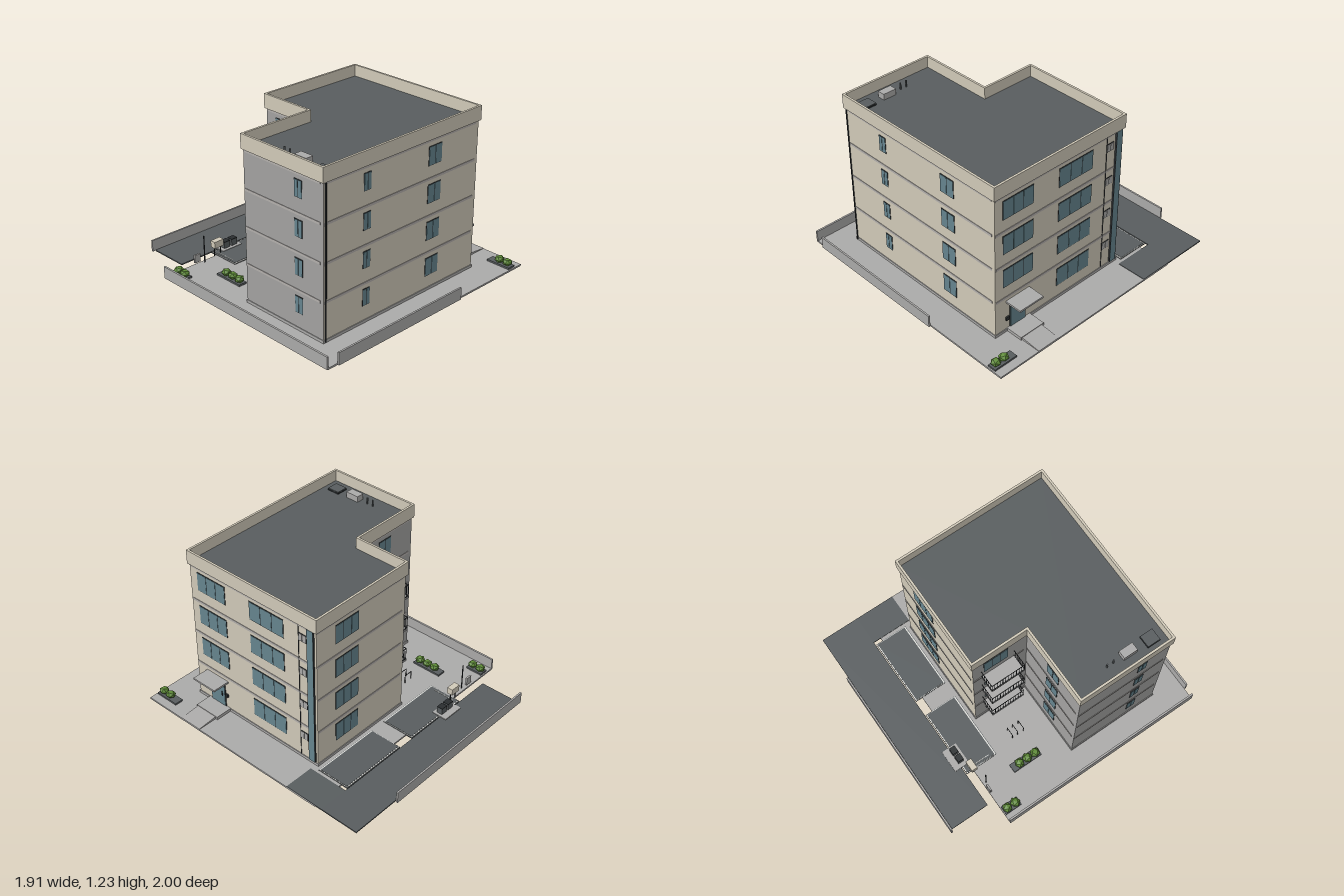
import * as THREE from 'three';

const mat = (name, color) => Object.assign(new THREE.MeshStandardMaterial({ color }), { name });

export function createModel() {
  const root = new THREE.Group();
  root.name = 'apartmentBlock';
  const M = {
    wall: mat('beige render', 0xd1cab9),
    grey: mat('grey render', 0xa3a2a1),
    concrete: mat('concrete', 0xabaaa9),
    trim: mat('floor band', 0xb4b0ad),
    asphalt: mat('asphalt', 0x585d5f),
    dark: mat('dark metal', 0x2a2e30),
    glass: mat('glass', 0x66858f),
    leaf: mat('foliage', 0x5f8c38),
    base: mat('slab underside', 0x929292),
    white: mat('road marking', 0xdcdcd8),
  };

  const add = (parent, name, geo, material, x = 0, y = 0, z = 0) => {
    const m = new THREE.Mesh(geo, material);
    m.name = name;
    m.position.set(x, y, z);
    parent.add(m);
    return m;
  };
  // Box given by its minimum and maximum on each axis
  const box = (parent, name, material, x0, x1, y0, y1, z0, z1) =>
    add(parent, name, new THREE.BoxGeometry(x1 - x0, y1 - y0, z1 - z0), material,
      (x0 + x1) / 2, (y0 + y1) / 2, (z0 + z1) / 2);
  const group = (name, parent = root) => {
    const g = new THREE.Group();
    g.name = name;
    parent.add(g);
    return g;
  };

  // Ground, road and parking bays
  const site = group('site');
  box(site, 'groundSlab', M.concrete, -0.95, 0.953, 0.004, 0.013, -0.62, 0.985);
  box(site, 'slabUnderside', M.base, -0.95, 0.953, 0, 0.004, -0.62, 0.985);
  box(site, 'road', M.asphalt, -0.76, 0.953, 0.008, 0.017, -0.98, -0.68);
  box(site, 'roadBranch', M.asphalt, 0.722, 0.953, 0.008, 0.017, -0.68, -0.37);
  for (const [a, b] of [[-0.492, 0.038], [0.163, 0.697]]) {
    const bay = group('parkingBay', site);
    box(bay, 'bayKerb', M.asphalt, a, b, 0.008, 0.016, -0.674, -0.418);
    box(bay, 'bayMarking', M.white, a + 0.003, b - 0.003, 0.008, 0.018, -0.671, -0.422);
    box(bay, 'baySurface', M.asphalt, a + 0.007, b - 0.007, 0.008, 0.02, -0.664, -0.431);
  }
  box(site, 'bayLine', M.white, -0.468, -0.463, 0.02, 0.022, -0.63, -0.47);
  box(site, 'backFence', M.concrete, -0.78, 0.575, 0.008, 0.095, -1, -0.987);
  box(site, 'frontFence', M.concrete, -0.87, 0.283, 0.004, 0.095, 0.987, 1);
  box(site, 'leftFence', M.concrete, -0.957, -0.943, 0.004, 0.095, -0.62, 0.985);

  // Outline of the L-shaped plan, inset by d from the parapet face
  const outline = (d) => [
    [-0.783 + d, 0.775 - d], [0.68 - d, 0.775 - d], [0.68 - d, -0.4 + d],
    [-0.2 + d, -0.4 + d], [-0.2 + d, 0.03 + d], [-0.783 + d, 0.03 + d],
  ].map(([x, z]) => new THREE.Vector2(x, z));
  const slab = (name, material, shape, y0, y1) => {
    const g = new THREE.ExtrudeGeometry(shape, { depth: y1 - y0, bevelEnabled: false });
    return add(root, name, g.rotateX(Math.PI / 2), material, 0, y1, 0);
  };
  const rim = new THREE.Shape(outline(0));
  rim.holes.push(new THREE.Path(outline(0.016).reverse()));
  slab('parapet', M.wall, rim, 1.12, 1.225);
  slab('roof', M.asphalt, new THREE.Shape(outline(0.014)), 1.122, 1.14);
  slab('plinth', M.concrete, new THREE.Shape(outline(0.007)), 0.01, 0.034);

  // Facades: local x runs along the wall, local z points outwards
  const FLOOR = 0.27;
  const corners = outline(0.012);
  const facade = (name, i, material) => {
    const a = corners[i], b = corners[(i + 1) % 6];
    const g = group(name);
    const d = b.clone().sub(a);
    g.position.set((a.x + b.x) / 2, 0, (a.y + b.y) / 2);
    g.rotation.y = Math.atan2(-d.y, d.x);
    add(g, 'wall', new THREE.PlaneGeometry(d.length(), 1.1), material, 0, 0.575, 0);
    const h = d.length() / 2;
    for (let f = 0; f < 4; f++)
      box(g, 'floorBand', M.trim, -h + 0.005, h - 0.025, 0.292 + f * FLOOR, 0.31 + f * FLOOR, 0, 0.003);
    return g;
  };
  // Window with dark frame and equal panes; u0..u1 along the wall
  const windowAt = (g, u0, u1, y0, y1, panes, pane) => {
    const w = group('window', g);
    box(w, 'frame', M.dark, u0, u1, y0, y1, 0, 0.003);
    const s = (u1 - u0) / panes;
    for (let i = 0; i < panes; i++)
      box(w, 'pane', pane, u0 + i * s + 0.0025, u0 + (i + 1) * s - 0.0025, y0 + 0.004, y1 - 0.004, 0, 0.005);
  };
  const column = (g, u0, u1, y0, y1, panes, from = 0, pane = M.glass) => {
    for (let f = from; f < 4; f++) windowAt(g, u0, u1, y0 + f * FLOOR, y1 + f * FLOOR, panes, pane);
  };

  const front = facade('frontFacade', 0, M.wall), fx = front.position.x;
  column(front, -0.425 - fx, -0.36 - fx, 0.14, 0.262, 2);
  column(front, 0.175 - fx, 0.3 - fx, 0.125, 0.262, 2);

  const right = facade('rightFacade', 1, M.wall), rz = right.position.z;
  const R = (z) => rz - z;
  column(right, R(0.695), R(0.432), 0.125, 0.27, 3, 1);
  column(right, R(0.205), R(-0.103), 0.125, 0.27, 3);
  column(right, R(-0.237), R(-0.302), 0.182, 0.243, 2, 0, M.concrete);
  box(right, 'wallSeam', M.dark, R(-0.233), R(-0.237), 0.034, 1.12, 0, 0.004);
  box(right, 'cornerGlazing', M.glass, R(-0.318), R(-0.368), 0.04, 1.12, 0, 0.014);
  for (const z of [-0.316, -0.368])
    box(right, 'glazingEdge', M.dark, R(z), R(z - 0.003), 0.04, 1.12, 0, 0.014);

  // Entrance
  const entry = group('entrance', right);
  box(entry, 'doorFrame', M.dark, R(0.637), R(0.493), 0.034, 0.252, 0, 0.004);
  box(entry, 'door', M.glass, R(0.632), R(0.498), 0.038, 0.246, 0, 0.008);
  box(entry, 'doorHandle', M.dark, R(0.523), R(0.518), 0.12, 0.16, 0, 0.014);
  box(entry, 'intercom', M.dark, R(0.675), R(0.645), 0.11, 0.137, 0, 0.012);
  box(entry, 'mailSlot', M.dark, R(0.485), R(0.465), 0.13, 0.155, 0, 0.012);
  box(entry, 'lamp', M.dark, R(0.515), R(0.495), 0.228, 0.24, 0, 0.014);
  box(entry, 'canopy', M.concrete, R(0.67), R(0.46), 0.257, 0.271, 0, 0.133);
  box(entry, 'landing', M.concrete, R(0.66), R(0.452), 0.01, 0.036, 0, 0.132);
  const ramp = new THREE.Shape([[0, 0.006], [0.153, 0.006], [0.153, 0.016], [0, 0.031]]
    .map((p) => new THREE.Vector2(...p)));
  add(root, 'entryRamp', new THREE.ExtrudeGeometry(ramp, { depth: 0.18, bevelEnabled: false }),
    M.concrete, 0.8, 0, 0.47);

  const back = facade('backFacade', 2, M.wall), bx = back.position.x;
  column(back, bx - 0.495, bx - 0.275, 0.125, 0.27, 3);
  const notchSide = facade('courtSideFacade', 3, M.grey), nz = notchSide.position.z;
  column(notchSide, -0.3 - nz, -0.11 - nz, 0.11, 0.265, 3);
  const notchBack = facade('courtBackFacade', 4, M.grey), cx = notchBack.position.x;
  column(notchBack, cx + 0.42, cx + 0.545, 0.125, 0.262, 2);
  const left = facade('leftFacade', 5, M.grey), lz = left.position.z;
  column(left, 0.51 - lz, 0.58 - lz, 0.14, 0.262, 2);

  // Downpipe
  add(root, 'downpipe', new THREE.CylinderGeometry(0.005, 0.005, 1.1, 8), M.dark, -0.757, 0.57, 0.771);

  // Balconies
  for (let f = 1; f < 4; f++) {
    const b = group('balcony');
    b.position.y = 0.03 + f * FLOOR;
    box(b, 'balconyFloor', M.concrete, -0.313, -0.188, 0, 0.012, -0.323, -0.057);
    const rail = (x0, x1, z0, z1) => {
      for (const y of [0.016, 0.104]) box(b, 'rail', M.dark, x0, x1, y, y + 0.005, z0, z1);
    };
    rail(-0.312, -0.308, -0.322, -0.058);
    const bar = (x, z) => box(b, 'baluster', M.dark, x - 0.0015, x + 0.0015, 0.012, 0.106, z - 0.0015, z + 0.0015);
    for (let i = 0; i <= 12; i++) bar(-0.31, -0.319 + i * 0.0215);
    for (const z of [-0.32, -0.06]) {
      rail(-0.312, -0.188, z - 0.002, z + 0.002);
      for (let i = 1; i < 6; i++) bar(-0.31 + i * 0.0215, z);
    }
  }

  // Roof equipment
  const plant = group('roofEquipment');
  box(plant, 'airUnit', M.concrete, -0.7, -0.64, 1.14, 1.185, 0.435, 0.54);
  box(plant, 'hatchFrame', M.dark, -0.72, -0.629, 1.14, 1.15, 0.612, 0.712);
  box(plant, 'hatch', M.asphalt, -0.718, -0.631, 1.14, 1.156, 0.614, 0.71);
  for (const z of [0.32, 0.37])
    add(plant, 'vent', new THREE.CylinderGeometry(0.006, 0.006, 0.05, 8), M.asphalt, -0.672, 1.165, z);

  // Planters with shrubs
  const planter = (x, z0, z1, shrubs) => {
    const p = group('planter');
    box(p, 'bed', M.asphalt, x - 0.033, x + 0.033, 0.01, 0.026, z0, z1);
    shrubs.forEach((z, i) => {
      const s = add(p, 'shrub', new THREE.IcosahedronGeometry(0.037, 0), M.leaf, x, 0.048, z);
      s.scale.y = 0.74;
      s.rotation.y = i * 0.7;
    });
  };
  planter(-0.86, -0.612, -0.48, [-0.58, -0.512]);
  planter(-0.645, -0.39, -0.155, [-0.325, -0.258, -0.19]);
  planter(0.857, 0.785, 0.975, [0.87, 0.938]);

  // Cycle stands
  for (const z of [-0.255, -0.21, -0.16]) {
    const s = group('cycleStand');
    for (const x of [-0.46, -0.394]) box(s, 'standLeg', M.dark, x, x + 0.004, 0.012, 0.08, z - 0.002, z + 0.002);
    box(s, 'standBar', M.dark, -0.46, -0.39, 0.076, 0.08, z - 0.002, z + 0.002);
  }

  // Bins, service cabinet and gate post
  const yard = group('serviceYard');
  box(yard, 'binPad', M.concrete, -0.433, -0.262, 0.008, 0.024, -0.732, -0.615);
  for (const x of [-0.4, -0.333]) {
    box(yard, 'bin', M.asphalt, x, x + 0.05, 0.024, 0.07, -0.682, -0.638);
    box(yard, 'binLid', M.dark, x - 0.001, x + 0.051, 0.07, 0.076, -0.683, -0.637);
  }
  box(yard, 'cabinet', M.wall, -0.52, -0.44, 0.08, 0.13, -0.645, -0.6);
  for (const x of [-0.51, -0.455]) box(yard, 'cabinetLeg', M.dark, x, x + 0.006, 0.012, 0.08, -0.626, -0.62);
  box(yard, 'gatePanel', M.concrete, -0.7, -0.65, 0.03, 0.09, -0.616, -0.602);
  box(yard, 'gatePost', M.dark, -0.622, -0.616, 0.012, 0.22, -0.598, -0.592);
  return root;
}
